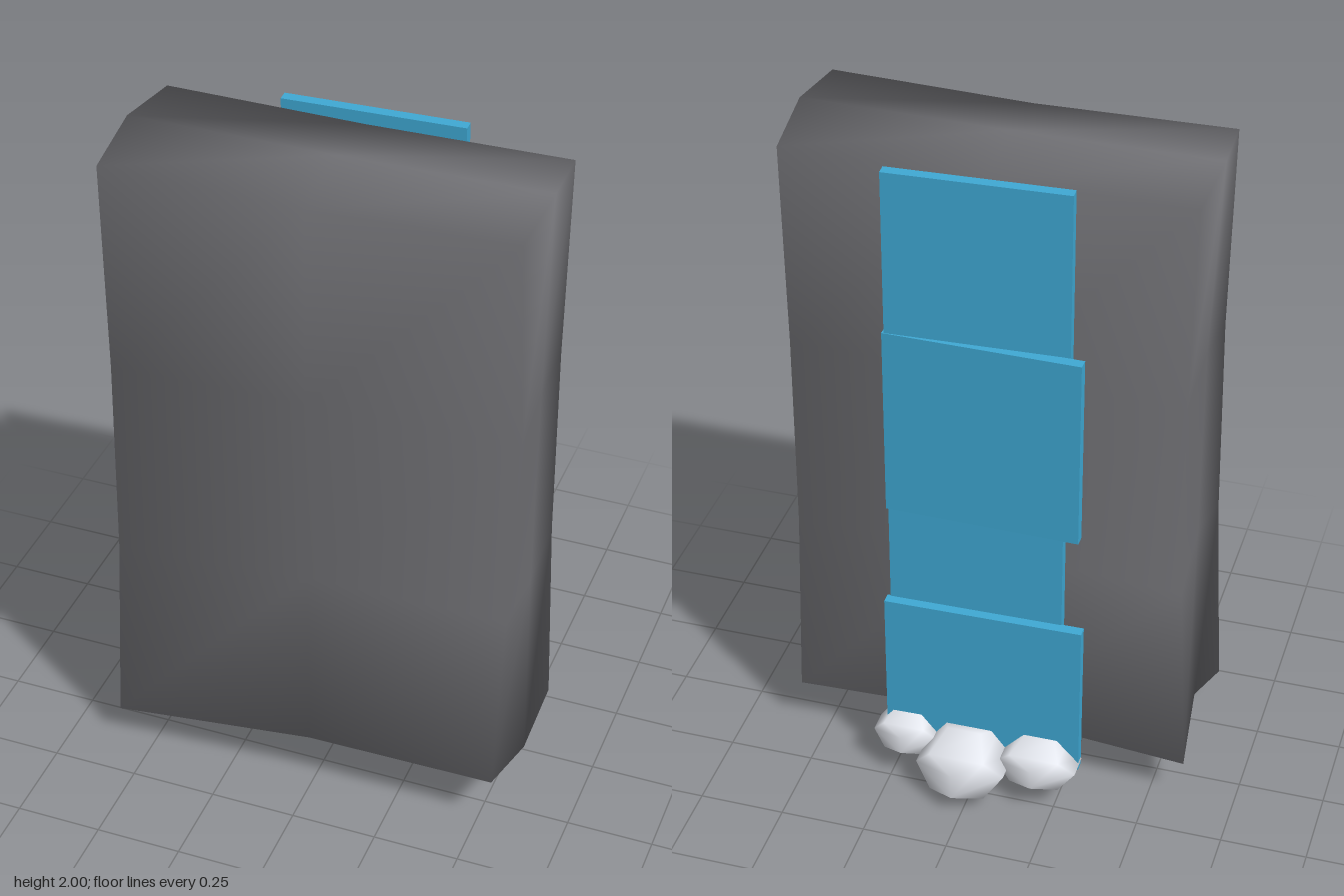
import * as THREE from 'three';
import { mergeVertices } from 'three/addons/utils/BufferGeometryUtils.js';

const stone = new THREE.MeshStandardMaterial({ color: 0x707074 });
const water = new THREE.MeshStandardMaterial({ color: 0x3fa9d4 });
const foam = new THREE.MeshStandardMaterial({ color: 0xe6e9f0 });

// Weld all corners so that the normals run smoothly over the edges
function weld(geometry) {
  geometry.deleteAttribute('normal');
  geometry.deleteAttribute('uv');
  const welded = mergeVertices(geometry, 1e-3);
  welded.computeVertexNormals();
  return welded;
}

function addMesh(group, name, geometry, material) {
  const mesh = new THREE.Mesh(geometry, material);
  mesh.name = name;
  group.add(mesh);
  return mesh;
}

// Rough slab: a coarse box whose grid points are shifted.
// Rows run from bottom to top, each lists back, middle, front.
function cliffGeometry() {
  const leftX = [[0.575, 0.575, 0.55], [0.56, 0.57, 0.575], [0.56, 0.575, 0.597], [0.572, 0.588, 0.575]];
  const rightX = [[-0.6, -0.575, -0.6], [-0.57, -0.56, -0.57], [-0.56, -0.56, -0.56], [-0.57, -0.585, -0.57]];
  const depth = [[-0.105, 0.13, 0.363], [-0.1, 0.13, 0.363], [-0.1, 0.13, 0.365], [-0.095, 0.13, 0.356]];
  // Heights from the model's right to its left
  const bottomY = [[0.13, 0.18, 0.16], [0.2, 0.19, 0.135], [0.11, 0.185, 0.19]];
  const topY = [[1.965, 1.96, 1.97], [1.99, 1.99, 2.0], [1.965, 1.957, 1.975]];

  const geometry = new THREE.BoxGeometry(2, 3, 2, 2, 3, 2);
  const p = geometry.attributes.position;
  for (let i = 0; i < p.count; i++) {
    const xi = Math.round(p.getX(i) + 1);
    const row = Math.round(p.getY(i) + 1.5);
    const zi = Math.round(p.getZ(i) + 1);
    const x = [rightX[row][zi], 0, leftX[row][zi]][xi];
    const y = THREE.MathUtils.lerp(bottomY[zi][xi], topY[zi][xi], row / 3);
    p.setXYZ(i, x, y, depth[row][zi]);
  }
  return weld(geometry);
}

export function createModel() {
  const model = new THREE.Group();
  model.name = 'waterfallCliff';
  addMesh(model, 'cliff', cliffGeometry(), stone);

  // Overlapping water sheets: x range, y range, mid-depth at each end
  const sheets = [
    [-0.25, 0.265, 1.36, 1.98, -0.128, -0.15],
    [-0.29, 0.27, 0.91, 1.49, -0.162, -0.152],
    [-0.24, 0.265, 0.44, 1.04, -0.14, -0.148],
    [-0.305, 0.275, 0.1, 0.6, -0.168, -0.177],
  ];
  const falls = new THREE.Group();
  falls.name = 'waterfall';
  for (const [x0, x1, y0, y1, z0, z1] of sheets) {
    const sheet = addMesh(falls, 'waterSheet', new THREE.BoxGeometry(x1 - x0, y1 - y0, 0.032), water);
    sheet.position.set((x0 + x1) / 2, (y0 + y1) / 2, (z0 + z1) / 2);
    sheet.rotation.y = -Math.atan2(z1 - z0, x1 - x0);
  }
  model.add(falls);

  // Foam lumps at the foot: centre, then half sizes
  const lumps = [
    [-0.19, 0.122, -0.195, 0.118, 0.078, 0.1],
    [0.025, 0.105, -0.235, 0.132, 0.105, 0.135],
    [0.212, 0.133, -0.18, 0.098, 0.074, 0.086],
  ];
  const splash = new THREE.Group();
  splash.name = 'splash';
  for (const [x, y, z, a, b, c] of lumps) {
    const geometry = weld(new THREE.DodecahedronGeometry(1 / 0.934, 0));
    geometry.scale(a, b, c);
    addMesh(splash, 'foamLump', geometry, foam).position.set(x, y, z);
  }
  model.add(splash);
  return model;
}
